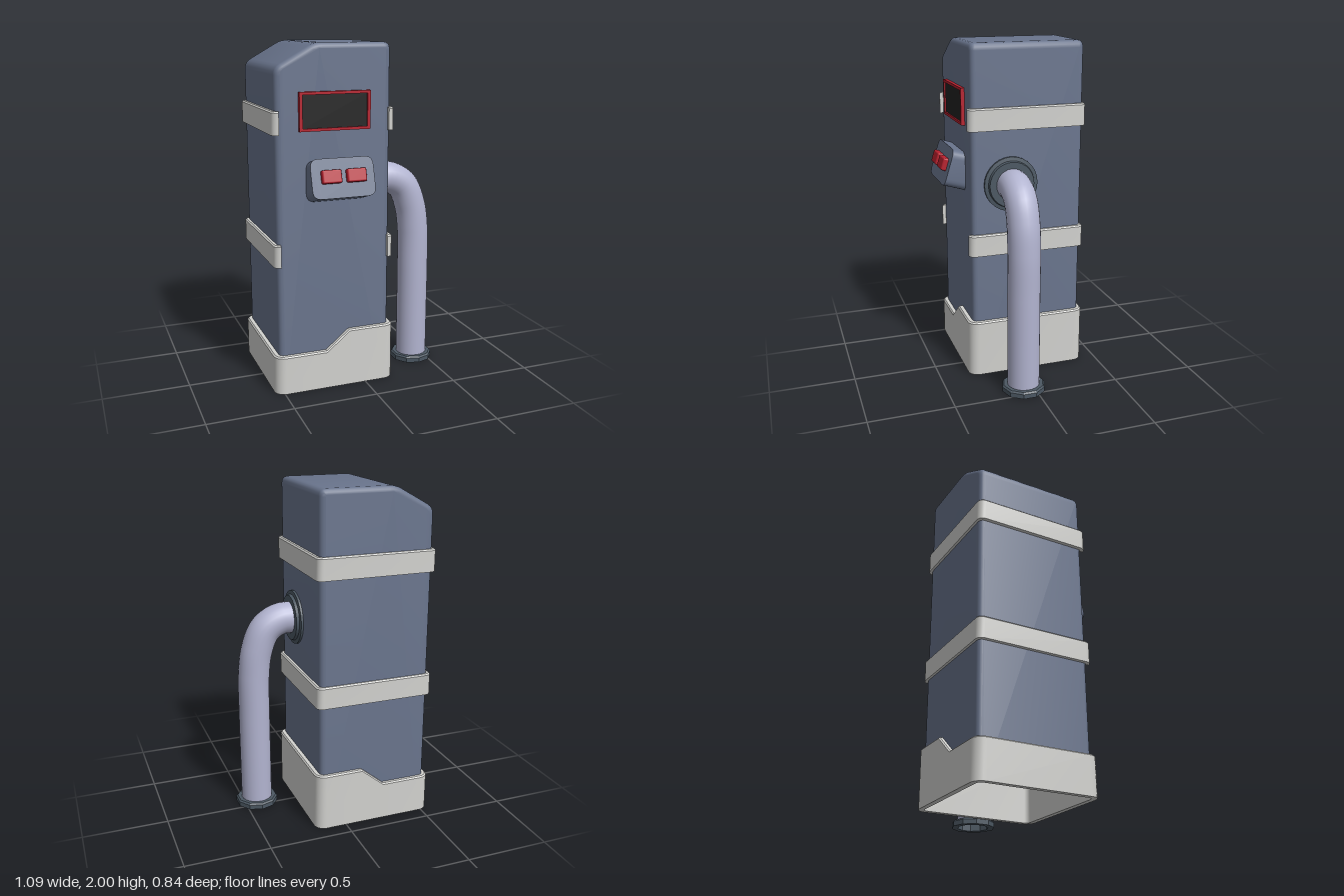
import * as THREE from 'three';
import { toCreasedNormals } from 'three/addons/utils/BufferGeometryUtils.js';
import { RoundedBoxGeometry } from 'three/addons/geometries/RoundedBoxGeometry.js';

const V2 = (x, y) => new THREE.Vector2(x, y);
const V3 = (x, y, z) => new THREE.Vector3(x, y, z);

function material(name, color, side = THREE.FrontSide) {
  const m = new THREE.MeshStandardMaterial({ color, side });
  m.name = name;
  return m;
}

function part(name, geometry, mat, parent) {
  const mesh = new THREE.Mesh(geometry, mat);
  mesh.name = name;
  parent.add(mesh);
  return mesh;
}

// Polygon with every corner softened by radius r
function roundedPolygon(points, r) {
  const s = new THREE.Shape(), n = points.length;
  points.forEach((p, i) => {
    const a = p.clone().add(points[(i + n - 1) % n].clone().sub(p).setLength(r));
    const b = p.clone().add(points[(i + 1) % n].clone().sub(p).setLength(r));
    if (i) s.lineTo(a.x, a.y); else s.moveTo(a.x, a.y);
    s.quadraticCurveTo(p.x, p.y, b.x, b.y);
  });
  s.closePath();
  return s;
}

const rectPoints = (w, h) => [V2(-w / 2, -h / 2), V2(w / 2, -h / 2), V2(w / 2, h / 2), V2(-w / 2, h / 2)];

// Path round one corner of a rounded rectangle; each point keeps its outward direction
function corner(box, r, quadrant) {
  const out = [];
  const cx = quadrant === 0 || quadrant === 3 ? box.x1 - r : box.x0 + r;
  const cz = quadrant < 2 ? box.z1 - r : box.z0 + r;
  for (let i = 0; i <= 5; i++) {
    const a = (quadrant + i / 5) * Math.PI / 2, nx = Math.cos(a), nz = Math.sin(a);
    out.push({ x: cx + nx * r, z: cz + nz * r, nx, nz });
  }
  return out;
}

// Thin wall along a path, with a chamfered outer rim
function wall(path, t, y0, top, closed) {
  const c = 0.008, pos = [], idx = [], K = 5, n = path.length;
  path.forEach(({ x, z, nx, nz }) => {
    const y1 = top(x);
    [[0, y0], [0, y1 - c], [c, y1], [t, y1], [t, y0]].forEach(([d, y]) => pos.push(x - nx * d, y, z - nz * d));
  });
  for (let i = 0; i < (closed ? n : n - 1); i++) {
    for (let k = 0; k < K; k++) {
      const a = i * K + k, b = i * K + (k + 1) % K;
      const j = ((i + 1) % n) * K, e = j + k, d = j + (k + 1) % K;
      idx.push(a, b, e, b, d, e);
    }
  }
  if (!closed) {
    const e = (n - 1) * K;
    for (let k = 1; k < K - 1; k++) idx.push(0, k + 1, k, e, e + k, e + k + 1);
  }
  const g = new THREE.BufferGeometry();
  g.setAttribute('position', new THREE.Float32BufferAttribute(pos, 3));
  g.setIndex(idx);
  return toCreasedNormals(g, 0.6);
}

// Cabinet shell: bevelled extrusion of the front outline, cut open at the floor
function cabinetGeometry() {
  const outline = roundedPolygon(
    [V2(-0.52, -0.06), V2(0.155, -0.06), V2(0.155, 2), V2(-0.29, 2), V2(-0.52, 1.87)], 0.04);
  const g = new THREE.ExtrudeGeometry(outline, {
    depth: 0.62, bevelThickness: 0.03, bevelSize: 0.03, bevelOffset: -0.03, bevelSegments: 4, curveSegments: 4
  });
  g.translate(0, 0, -0.36);
  const p = g.attributes.position, kept = [];
  for (let i = 0; i < p.count; i += 3) {
    const ys = [0, 1, 2].map(k => Math.max(0, p.getY(i + k)));
    if (Math.max(...ys) < 0.001) continue;
    ys.forEach((y, k) => kept.push(p.getX(i + k), y, p.getZ(i + k)));
  }
  const shell = new THREE.BufferGeometry();
  shell.setAttribute('position', new THREE.Float32BufferAttribute(kept, 3));
  return toCreasedNormals(shell, 0.6);
}

export function createModel() {
  const model = new THREE.Group();
  model.name = 'pumpCabinet';
  const blue = material('slate blue paint', 0x69748c, THREE.DoubleSide);
  const pale = material('pale grey trim', 0xd2d2cf);
  const red = material('red plastic', 0xb8202e);
  const black = material('black screen', 0x222222);
  const lilac = material('lilac grey hose', 0xb2b4d0, THREE.DoubleSide);
  const dark = material('dark grey fittings', 0x4c5863);

  part('cabinet', cabinetGeometry(), blue, model);

  // Skirt round the foot, stepping down towards the right
  const foot = { x0: -0.55, x1: 0.185, z0: -0.415, z1: 0.32 };
  const steps = z => [-0.1, -0.24].map(x => ({ x, z, nx: 0, nz: Math.sign(z) }));
  const skirt = [
    ...corner(foot, 0.06, 0), ...steps(foot.z1), ...corner(foot, 0.06, 1),
    ...corner(foot, 0.06, 2), ...steps(foot.z0).reverse(), ...corner(foot, 0.06, 3)
  ];
  const skirtTop = x => 0.23 + 0.115 * THREE.MathUtils.clamp((x + 0.24) / 0.14, 0, 1);
  part('baseSkirt', wall(skirt, 0.032, 0, skirtTop, true), pale, model);

  // Two straps that hook round the front corners
  const strap = { x0: -0.542, x1: 0.176, z0: -0.405, z1: 0.31 };
  const strapPath = [1, 2, 3, 4].flatMap(q => corner(strap, 0.037, q % 4));
  for (const [name, y] of [['lowerStrap', 0.765], ['upperStrap', 1.51]]) {
    part(name, wall(strapPath, 0.023, y, () => y + 0.13, false), pale, model);
  }

  // Display with raised frame
  const display = new THREE.Group();
  display.name = 'display';
  display.position.set(-0.182, 1.632, 0.285);
  model.add(display);
  const frame = new THREE.Shape(rectPoints(0.415, 0.215));
  frame.holes.push(new THREE.Path(rectPoints(0.379, 0.183).reverse()));
  part('displayFrame', new THREE.ExtrudeGeometry(frame, { depth: 0.027, bevelEnabled: false }), red, display);
  part('displayScreen', new THREE.BoxGeometry(0.385, 0.19, 0.008), black, display).position.z = 0.014;

  // Tilted panel with two buttons
  const panel = new THREE.Group();
  panel.name = 'buttonPanel';
  panel.position.set(-0.165, 1.273, 0.387);
  panel.rotation.x = -0.297;
  model.add(panel);
  const plate = new THREE.ExtrudeGeometry(roundedPolygon(rectPoints(0.37, 0.223), 0.05),
    { depth: 0.14, bevelEnabled: false, curveSegments: 6 });
  part('panelBlock', toCreasedNormals(plate, 0.6), blue, panel).position.z = -0.14;
  for (const [name, x] of [['rightButton', -0.073], ['leftButton', 0.073]]) {
    part(name, new RoundedBoxGeometry(0.114, 0.075, 0.05, 2, 0.01), red, panel).position.set(x, 0.008, 0.006);
  }

  // Hose from the left wall down to the floor
  const path = new THREE.CatmullRomCurve3([
    V3(0.15, 1.19, 0.055), V3(0.25, 1.188, 0.055), V3(0.34, 1.135, 0.056), V3(0.395, 1.01, 0.058),
    V3(0.417, 0.85, 0.061), V3(0.42, 0.6, 0.063), V3(0.42, 0.3, 0.063), V3(0.42, 0, 0.063)
  ]);
  part('hose', new THREE.TubeGeometry(path, 48, 0.095, 24, false), lilac, model);

  // Stepped wall flange
  const flange = new THREE.LatheGeometry(
    [V2(0.162, 0), V2(0.162, 0.018), V2(0.14, 0.022), V2(0.135, 0.038), V2(0, 0.038)], 28);
  flange.rotateZ(-Math.PI / 2);
  part('wallFlange', toCreasedNormals(flange, 0.5), dark, model).position.set(0.15, 1.19, 0.055);

  // Faceted open ring at the hose end
  const ring = new THREE.LatheGeometry(
    [V2(0.092, 0), V2(0.129, 0), V2(0.129, 0.028), V2(0.12, 0.038), V2(0.092, 0.038), V2(0.092, 0)], 10);
  part('floorRing', toCreasedNormals(ring, 0.3), dark, model).position.set(0.42, 0, 0.063);

  return model;
}
